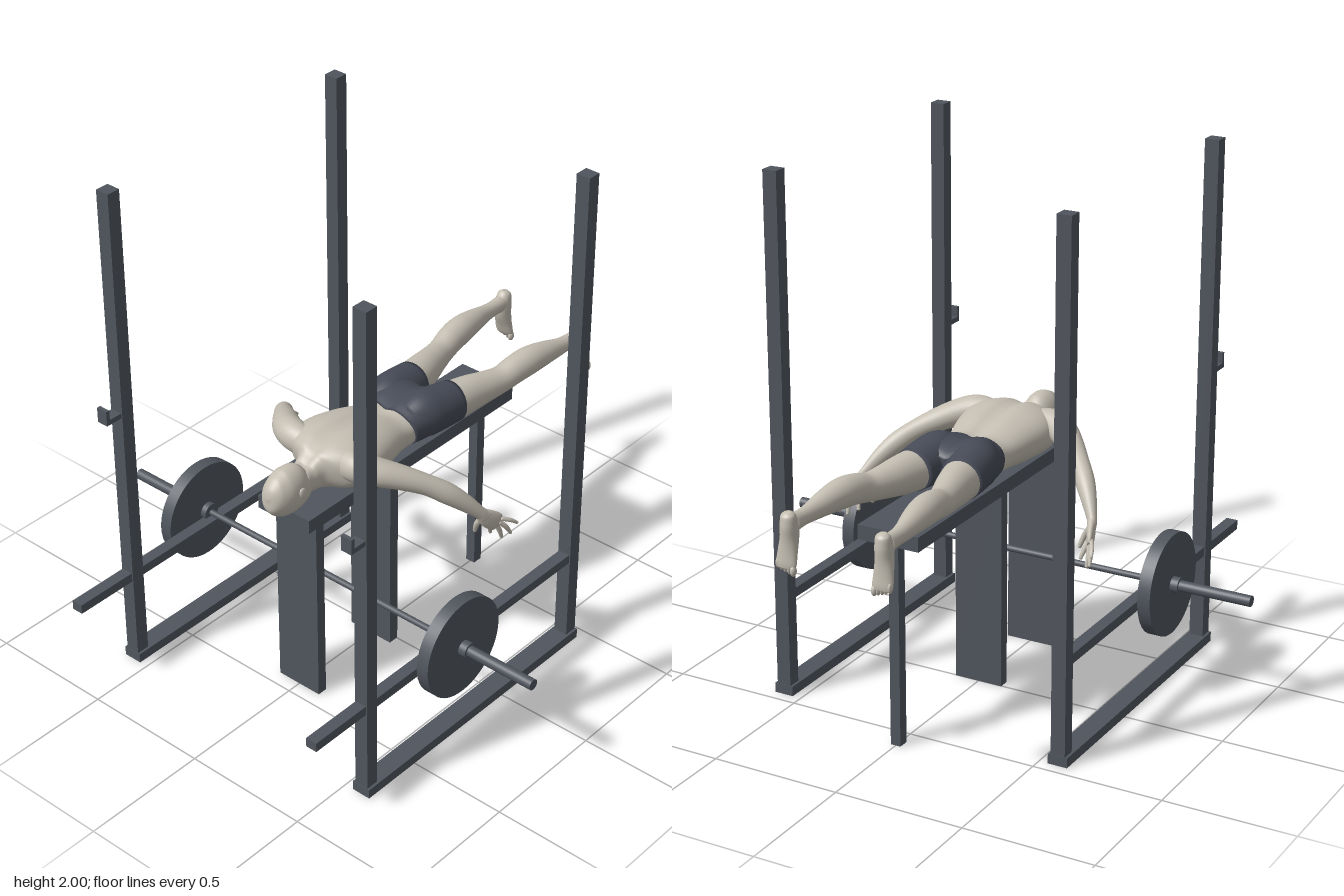
import * as THREE from 'three';

const mat = (name, color) => Object.assign(new THREE.MeshStandardMaterial({ color }), { name });

// Skin a smooth body through elliptical sections [x, y, z, halfWidth, halfDepth]
function loft(sections, { up = [0, 1, 0], power = 2, steps = 5, sides = 28, shape } = {}) {
  const path = new THREE.CatmullRomCurve3(sections.map(s => new THREE.Vector3(s[0], s[1], s[2])), false, 'catmullrom');
  const size = new THREE.CatmullRomCurve3(sections.map(s => new THREE.Vector3(s[3], s[4], 0)), false, 'catmullrom');
  const upV = new THREE.Vector3(...up), pos = [], idx = [];
  const rings = (sections.length - 1) * steps;
  const bend = v => Math.sign(v) * Math.abs(v) ** (2 / power);
  for (let i = 0; i <= rings; i++) {
    const t = i / rings, c = path.getPoint(t), r = size.getPoint(t), T = path.getTangent(t);
    const S = upV.clone().cross(T).normalize(), U = T.clone().cross(S);
    for (let j = 0; j < sides; j++) {
      const a = j / sides * Math.PI * 2;
      const p = c.clone().addScaledVector(S, r.x * bend(Math.cos(a))).addScaledVector(U, r.y * bend(Math.sin(a)));
      if (shape) shape(p, c);
      pos.push(p.x, p.y, p.z);
      if (i < rings) {
        const k = i * sides + j, n = i * sides + (j + 1) % sides;
        idx.push(k, n, k + sides, n, n + sides, k + sides);
      }
    }
  }
  // Close both ends
  const first = path.getPoint(0), last = path.getPoint(1), n0 = pos.length / 3;
  pos.push(first.x, first.y, first.z, last.x, last.y, last.z);
  for (let j = 0; j < sides; j++) {
    const n = (j + 1) % sides, e = rings * sides;
    idx.push(n0, n, j, n0 + 1, e + j, e + n);
  }
  const g = new THREE.BufferGeometry();
  g.setAttribute('position', new THREE.Float32BufferAttribute(pos, 3));
  g.setIndex(idx);
  g.computeVertexNormals();
  return g;
}

export function createModel() {
  const model = new THREE.Group();
  model.name = 'benchAndRack';
  const metal = mat('darkSteel', 0x50555d);
  const skin = mat('skin', 0xc4beb2);
  const cloth = mat('shortsCloth', 0x474b57);

  const add = (name, geometry, material, x = 0, y = 0, z = 0) => {
    const m = new THREE.Mesh(geometry, material);
    m.name = name;
    m.position.set(x, y, z);
    model.add(m);
    return m;
  };
  // Box given by its limits on each axis
  const box = (name, x0, x1, y0, y1, z0, z1) => add(name,
    new THREE.BoxGeometry(x1 - x0, y1 - y0, z1 - z0), metal, (x0 + x1) / 2, (y0 + y1) / 2, (z0 + z1) / 2);
  // Cylinder lying along x on the bar's axis
  const rod = (name, x0, x1, r, sides = 32) => add(name,
    new THREE.CylinderGeometry(r, r, x1 - x0, sides).rotateZ(Math.PI / 2), metal, (x0 + x1) / 2, 0.426, 0.29);
  const ball = (name, x, y, z, rx, ry, rz, m = skin) => add(name,
    new THREE.SphereGeometry(1, 20, 14).scale(rx, ry, rz), m, x, y, z);

  // Rack, one frame on each side
  for (const s of [-1, 1]) {
    const c = s * 0.573;
    box('baseRail', c - 0.038, c + 0.038, 0, 0.038, -0.455, 0.747);
    box('frontUpright', c - 0.028, c + 0.028, 0.03, 2, 0.692, 0.745);
    box('rearUpright', c - 0.028, c + 0.028, 0.03, 2, -0.453, -0.4);
    box('safetyBar', c - 0.023, c + 0.023, 0.375, 0.412, -0.42, 1);
    box('hookArm', c - 0.023, c + 0.023, 1.1, 1.12, 0.74, 0.815);
    box('hookLip', c - 0.023, c + 0.023, 1.1, 1.16, 0.8, 0.815);
  }

  // Bench
  box('benchPad', -0.122, 0.122, 0.785, 0.84, -0.637, 0.506);
  box('frontBenchLeg', -0.097, 0.097, 0, 0.79, 0.403, 0.443);
  box('middleBenchLeg', -0.097, 0.097, 0, 0.79, -0.003, 0.04);
  box('rearBenchLeg', -0.02, 0.02, 0, 0.79, -0.602, -0.56);

  // Barbell
  rod('bar', -0.6, 0.6, 0.012, 20);
  for (const s of [-1, 1]) {
    const side = (name, a, b, r, n) => rod(name, Math.min(a * s, b * s), Math.max(a * s, b * s), r, n);
    side('sleeve', 0.59, 0.968, 0.021);
    side('innerCollar', 0.582, 0.606, 0.034);
    side('weightPlate', 0.605, 0.655, 0.197, 48);
    side('outerCollar', 0.655, 0.685, 0.03);
  }

  // Torso with a groove along the spine
  const spine = (p, c) => { if (p.y > c.y) p.y -= 0.016 * Math.exp(-((p.x / 0.028) ** 2)); };
  add('torso', loft([
    [0, 0.925, 0.43, 0.05, 0.055], [0, 0.92, 0.39, 0.055, 0.062], [0, 0.925, 0.35, 0.07, 0.076],
    [0, 0.932, 0.315, 0.135, 0.088], [0, 0.937, 0.27, 0.175, 0.096], [0, 0.939, 0.2, 0.183, 0.098],
    [0, 0.932, 0.1, 0.163, 0.092], [0, 0.922, 0, 0.136, 0.077], [0, 0.922, -0.065, 0.135, 0.078],
  ], { power: 2.3, sides: 48, shape: spine }), skin);

  // Head, face down
  add('head', loft([
    [0, 0.922, 0.586, 0.004, 0.005], [0, 0.921, 0.578, 0.03, 0.042], [0, 0.917, 0.558, 0.05, 0.07],
    [0, 0.911, 0.52, 0.064, 0.09], [0, 0.91, 0.475, 0.066, 0.094], [0, 0.909, 0.435, 0.058, 0.086],
    [0, 0.912, 0.405, 0.047, 0.066], [0, 0.918, 0.385, 0.03, 0.04],
  ]), skin);
  ball('nose', 0, 0.822, 0.475, 0.012, 0.018, 0.022);

  // Seat of the shorts
  add('shortsSeat', loft([
    [0, 0.923, -0.053, 0.137, 0.08], [0, 0.93, -0.1, 0.15, 0.088], [0, 0.937, -0.16, 0.163, 0.091],
    [0, 0.935, -0.21, 0.15, 0.08], [0, 0.93, -0.245, 0.1, 0.06],
  ], { power: 2.4, sides: 40, shape: spine }), cloth);

  for (const s of [-1, 1]) {
    const limb = (name, pts, m, opts) => add(name, loft(pts.map(([x, ...r]) => [x * s, ...r]), opts), m);
    ball('ear', s * 0.066, 0.915, 0.472, 0.009, 0.026, 0.017).rotation.x = 0.4;

    // Leg
    limb('shortsLeg', [
      [0.074, 0.935, -0.08, 0.055, 0.07], [0.08, 0.943, -0.15, 0.084, 0.09],
      [0.089, 0.939, -0.22, 0.085, 0.087], [0.098, 0.932, -0.306, 0.079, 0.08],
    ], cloth);
    limb('leg', [
      [0.097, 0.932, -0.29, 0.076, 0.077], [0.113, 0.933, -0.38, 0.066, 0.071],
      [0.131, 0.933, -0.46, 0.056, 0.06], [0.146, 0.936, -0.53, 0.05, 0.052],
      [0.157, 0.952, -0.6, 0.052, 0.055], [0.165, 0.959, -0.67, 0.053, 0.055],
      [0.173, 0.956, -0.75, 0.045, 0.047], [0.181, 0.948, -0.83, 0.032, 0.036],
      [0.184, 0.945, -0.89, 0.027, 0.031], [0.186, 0.944, -0.95, 0.029, 0.035],
    ], skin);
    // Foot, toes pointing down
    limb('foot', [
      [0.186, 0.992, -0.972, 0.012, 0.012], [0.186, 0.98, -0.969, 0.026, 0.025],
      [0.186, 0.945, -0.962, 0.031, 0.036], [0.187, 0.9, -0.961, 0.032, 0.035],
      [0.189, 0.85, -0.971, 0.037, 0.025], [0.19, 0.81, -0.98, 0.04, 0.018],
      [0.19, 0.792, -0.984, 0.035, 0.012],
    ], skin, { up: [0, 0, 1] });
    for (let i = 0; i < 5; i++)
      ball('toe', s * (0.16 + i * 0.0152), 0.788 + i * 0.005, -0.984, i ? 0.0075 : 0.011, 0.02, i ? 0.011 : 0.014);

    // Arm
    limb('arm', [
      [0.09, 0.955, 0.28, 0.05, 0.058], [0.16, 0.965, 0.275, 0.056, 0.058],
      [0.215, 0.957, 0.247, 0.055, 0.052], [0.28, 0.933, 0.19, 0.047, 0.045],
      [0.345, 0.898, 0.128, 0.037, 0.039], [0.395, 0.856, 0.075, 0.036, 0.04],
      [0.437, 0.808, 0.027, 0.028, 0.033], [0.472, 0.757, -0.017, 0.018, 0.024],
      [0.482, 0.735, -0.034, 0.016, 0.026],
    ], skin);
    // Hand with spread fingers
    limb('palm', [
      [0.471, 0.757, -0.017, 0.016, 0.022], [0.482, 0.73, -0.04, 0.016, 0.033],
      [0.494, 0.703, -0.07, 0.014, 0.037], [0.5, 0.685, -0.085, 0.009, 0.03],
    ], skin);
    const fingers = [
      [[0.474, 0.735, -0.03], [0.45, 0.695, -0.028], [0.435, 0.654, -0.036], 0.011],
      [[0.484, 0.7, -0.057], [0.475, 0.668, -0.072], [0.465, 0.633, -0.087], 0.0095],
      [[0.493, 0.695, -0.073], [0.5, 0.655, -0.094], [0.5, 0.616, -0.108], 0.0095],
      [[0.503, 0.697, -0.085], [0.517, 0.665, -0.112], [0.523, 0.632, -0.131], 0.009],
      [[0.508, 0.71, -0.09], [0.527, 0.695, -0.122], [0.538, 0.675, -0.148], 0.008],
    ];
    for (const [a, b, c, r] of fingers) {
      limb('finger', [[...a, r, r], [...b, r, r], [...c, r * 0.7, r * 0.7]], skin, { sides: 12, up: [s, 0, 1] });
      ball('fingertip', s * c[0], c[1], c[2], r * 0.75, r * 0.75, r * 0.75);
    }
  }
  return model;
}
